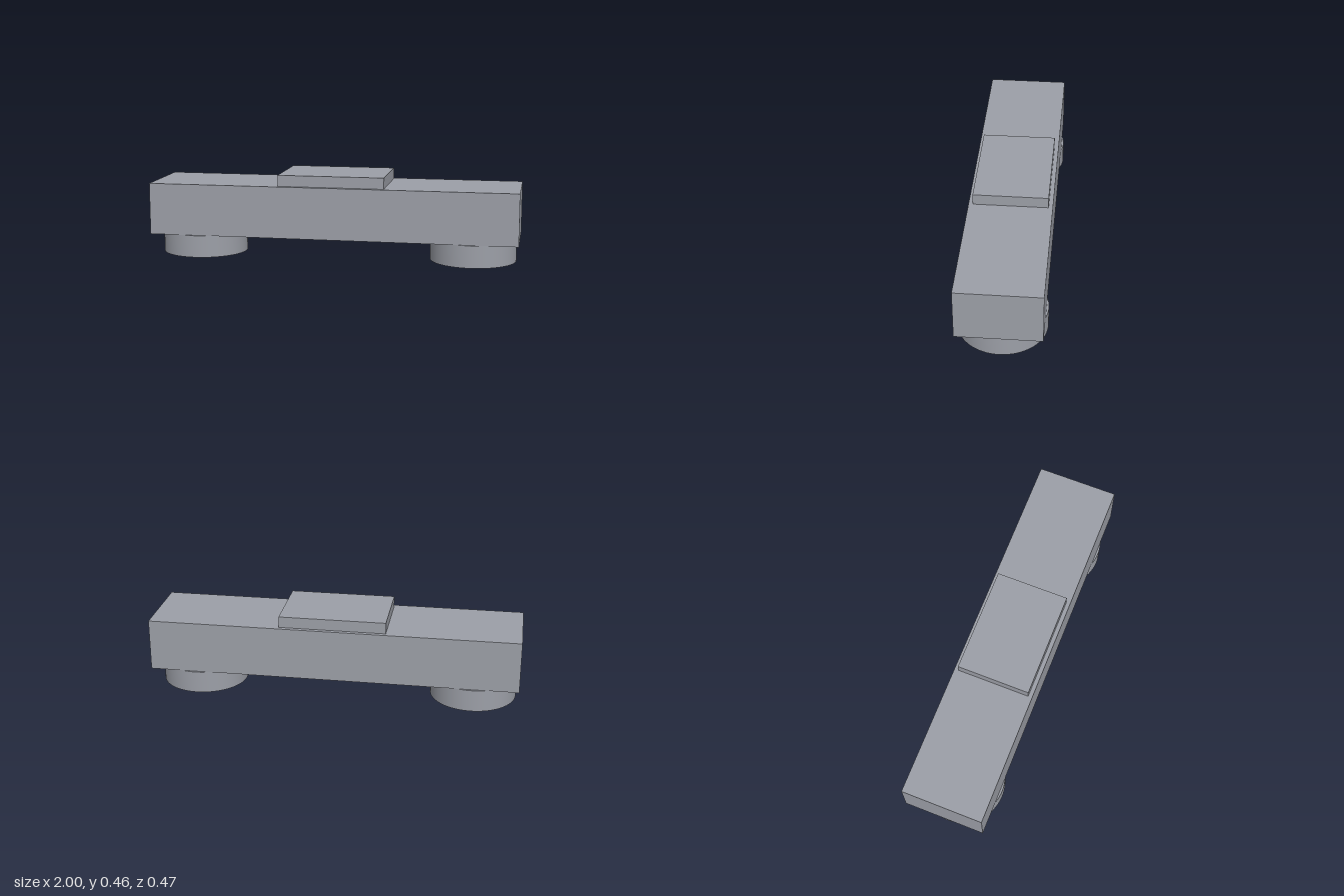
import * as THREE from 'three';
import { toCreasedNormals } from 'three/addons/utils/BufferGeometryUtils.js';

export function createModel() {
  const model = new THREE.Group();
  model.name = 'footedBar';
  const grey = new THREE.MeshStandardMaterial({ color: 0x9c9fa7 });
  grey.name = 'grey';

  function add(name, geometry, x, y, z) {
    const mesh = new THREE.Mesh(geometry, grey);
    mesh.name = name;
    mesh.position.set(x, y, z);
    model.add(mesh);
  }

  // Main bar and the raised plate on top
  add('bar', new THREE.BoxGeometry(2, 0.28, 0.442), 0, 0.26, 0);
  add('topPlate', new THREE.BoxGeometry(0.574, 0.06, 0.397), 0, 0.43, 0);

  // Ring feet: flat washers with smooth walls, open below up to the bar
  const outline = new THREE.Shape().absarc(0, 0, 0.233, 0, Math.PI * 2, false);
  outline.holes.push(new THREE.Path().absarc(0, 0, 0.126, 0, Math.PI * 2, true));
  const ring = new THREE.ExtrudeGeometry(outline, { depth: 0.12, bevelEnabled: false, curveSegments: 48 });
  ring.rotateX(-Math.PI / 2);
  const foot = toCreasedNormals(ring, Math.PI / 6);
  add('leftFoot', foot, 0.75, 0, 0);
  add('rightFoot', foot, -0.75, 0, 0);

  return model;
}
